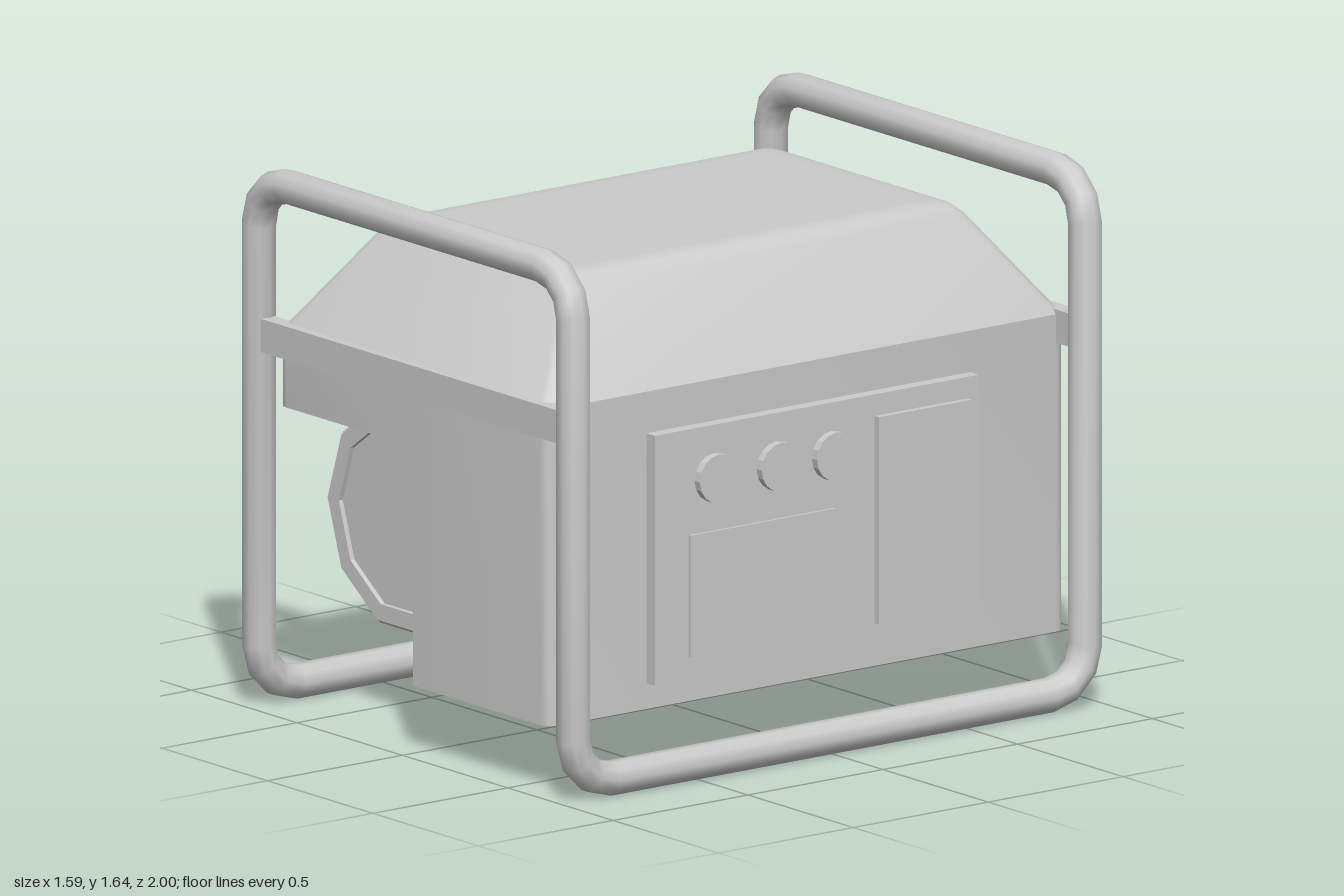
import * as THREE from 'three';
import { toCreasedNormals } from 'three/addons/utils/BufferGeometryUtils.js';

const smooth = new THREE.MeshStandardMaterial({ color: 0xcccccc });
const flat = new THREE.MeshStandardMaterial({ color: 0xcccccc, flatShading: true });

export function createModel() {
  const root = new THREE.Group();
  const add = (name, geo, mat = flat, parent = root) => {
    const m = new THREE.Mesh(geo, mat);
    m.name = name;
    parent.add(m);
    return m;
  };
  const group = (name) => {
    const g = new THREE.Group();
    g.name = name;
    root.add(g);
    return g;
  };
  // box given by its min and max corners
  const box = (name, x0, x1, y0, y1, z0, z1, parent) => {
    const m = add(name, new THREE.BoxGeometry(x1 - x0, y1 - y0, z1 - z0), flat, parent);
    m.position.set((x0 + x1) / 2, (y0 + y1) / 2, (z0 + z1) / 2);
  };

  // Cage: one closed tube with rounded corners, two arches joined by floor rails
  const X = 0.745, Z = 0.949, T = 1.592, B = 0.056, bend = 0.135;
  const corners = [
    [X, B, Z], [X, T, Z], [-X, T, Z], [-X, B, Z],
    [-X, B, -Z], [-X, T, -Z], [X, T, -Z], [X, B, -Z],
  ].map((p) => new THREE.Vector3(...p));
  const path = [];
  corners.forEach((c, i) => {
    const prev = corners[(i + 7) % 8], next = corners[(i + 1) % 8];
    const a = prev.clone().sub(c).setLength(bend), b = next.clone().sub(c).setLength(bend);
    const centre = c.clone().add(a).add(b);
    for (let k = 0; k <= 3; k++) {
      const t = (k / 3) * Math.PI / 2;
      path.push(centre.clone().addScaledVector(b, -Math.cos(t)).addScaledVector(a, -Math.sin(t)));
    }
  });
  const n = path.length;
  class CageCurve extends THREE.Curve {
    getPointAt(u) { return path[Math.round(u * n) % n].clone(); }
    getTangentAt(u) {
      const i = Math.round(u * n) % n, p = path[i];
      const d0 = p.clone().sub(path[(i + n - 1) % n]).normalize();
      return path[(i + 1) % n].clone().sub(p).normalize().add(d0).normalize();
    }
  }
  add('cageFrame', new THREE.TubeGeometry(new CageCurve(), n, 0.052, 10, true), smooth);
  for (const s of [1, -1]) {
    box(s > 0 ? 'frontCrossbar' : 'backCrossbar', -0.708, 0.708, 1.08, 1.18, s * 0.95 - 0.027, s * 0.95 + 0.027);
  }

  // Body: deep half on one side, short half with a sloping underside on the other
  const body = group('body');
  const W = 0.64, D = 0.96, R = 0.04, top = 1.165;
  const half = (name, side, bottomAt) => {
    const s = new THREE.Shape();
    s.moveTo(0, -D);
    s.lineTo(side * (W - R), -D);
    s.quadraticCurveTo(side * W, -D, side * W, -D + R);
    s.lineTo(side * W, D - R);
    s.quadraticCurveTo(side * W, D, side * (W - R), D);
    s.lineTo(0, D);
    s.closePath();
    const g = new THREE.ExtrudeGeometry(s, { depth: 1, bevelEnabled: false, curveSegments: 4 });
    g.rotateX(-Math.PI / 2);
    const p = g.attributes.position;
    for (let i = 0; i < p.count; i++) p.setY(i, p.getY(i) > 0.5 ? top : bottomAt(p.getZ(i)));
    add(name, toCreasedNormals(g, 0.6), smooth, body);
  };
  half('deepHousing', 1, () => 0.21);
  half('shortHousing', -1, (z) => 0.845 + 0.085 * (z / D));

  // Hood: stacked rounded rectangles narrowing to a flat top
  const levels = [[W, D, top], [0.46, 0.745, 1.46], [0.437, 0.715, 1.488], [0.41, 0.68, 1.5], [0.37, 0.64, 1.5]];
  const pos = [], idx = [], N = 16;
  for (const [hx, hz, y] of levels) {
    for (let q = 0; q < 4; q++) {
      const sx = q === 0 || q === 3 ? 1 : -1, sz = q < 2 ? 1 : -1;
      for (let k = 0; k < 4; k++) {
        const a = (q + k / 3) * Math.PI / 2;
        pos.push(sx * (hx - R) + R * Math.cos(a), y, sz * (hz - R) + R * Math.sin(a));
      }
    }
  }
  for (let l = 0; l < levels.length - 1; l++) {
    for (let i = 0; i < N; i++) {
      const a = l * N + i, b = l * N + (i + 1) % N;
      idx.push(a, a + N, b, b, a + N, b + N);
    }
  }
  const c = pos.length / 3, last = (levels.length - 1) * N;
  pos.push(0, 1.5, 0);
  for (let i = 0; i < N; i++) idx.push(c, last + (i + 1) % N, last + i);
  const hood = new THREE.BufferGeometry();
  hood.setAttribute('position', new THREE.Float32BufferAttribute(pos, 3));
  hood.setIndex(idx);
  add('hood', toCreasedNormals(hood, 0.65), smooth, body);

  // Motor: ten-sided turned drum along z, open at the back
  const profile = [
    [0, -0.7], [0.265, -0.7], [0.265, -0.9], [0.33, -0.9], [0.332, -0.77], [0.348, -0.77],
    [0.348, -0.66], [0.31, -0.66], [0.31, 0.05], [0.348, 0.05], [0.348, 0.17], [0.31, 0.17],
    [0.31, 0.24], [0.28, 0.26], [0.28, 0.44], [0.3, 0.44], [0.352, 0.75], [0.34, 0.765],
    [0.287, 0.765], [0.287, 0.75], [0, 0.75],
  ].map((p) => new THREE.Vector2(...p));
  const drum = new THREE.LatheGeometry(profile, 10, Math.PI / 2);
  drum.rotateX(Math.PI / 2);
  add('motor', drum).position.set(-0.315, 0.62, 0);

  // Control panel on the side
  const panel = group('controlPanel');
  box('panelPlate', 0.62, 0.68, 0.287, 1.04, -0.605, 0.595, panel);
  box('lowerCover', 0.67, 0.69, 0.355, 0.722, -0.068, 0.47, panel);
  box('tallCover', 0.67, 0.7, 0.35, 0.975, -0.565, -0.22, panel);
  for (const z of [0.375, 0.145, -0.06]) {
    const dial = add('dial', new THREE.CylinderGeometry(0.073, 0.073, 0.04, 16), flat, panel);
    dial.rotation.z = -Math.PI / 2;
    dial.position.set(0.685, 0.882, z);
  }

  // Hatch on the back
  box('backHatch', 0.06, 0.51, 0.29, 0.68, -D - 0.02, -D + 0.02);
  return root;
}
